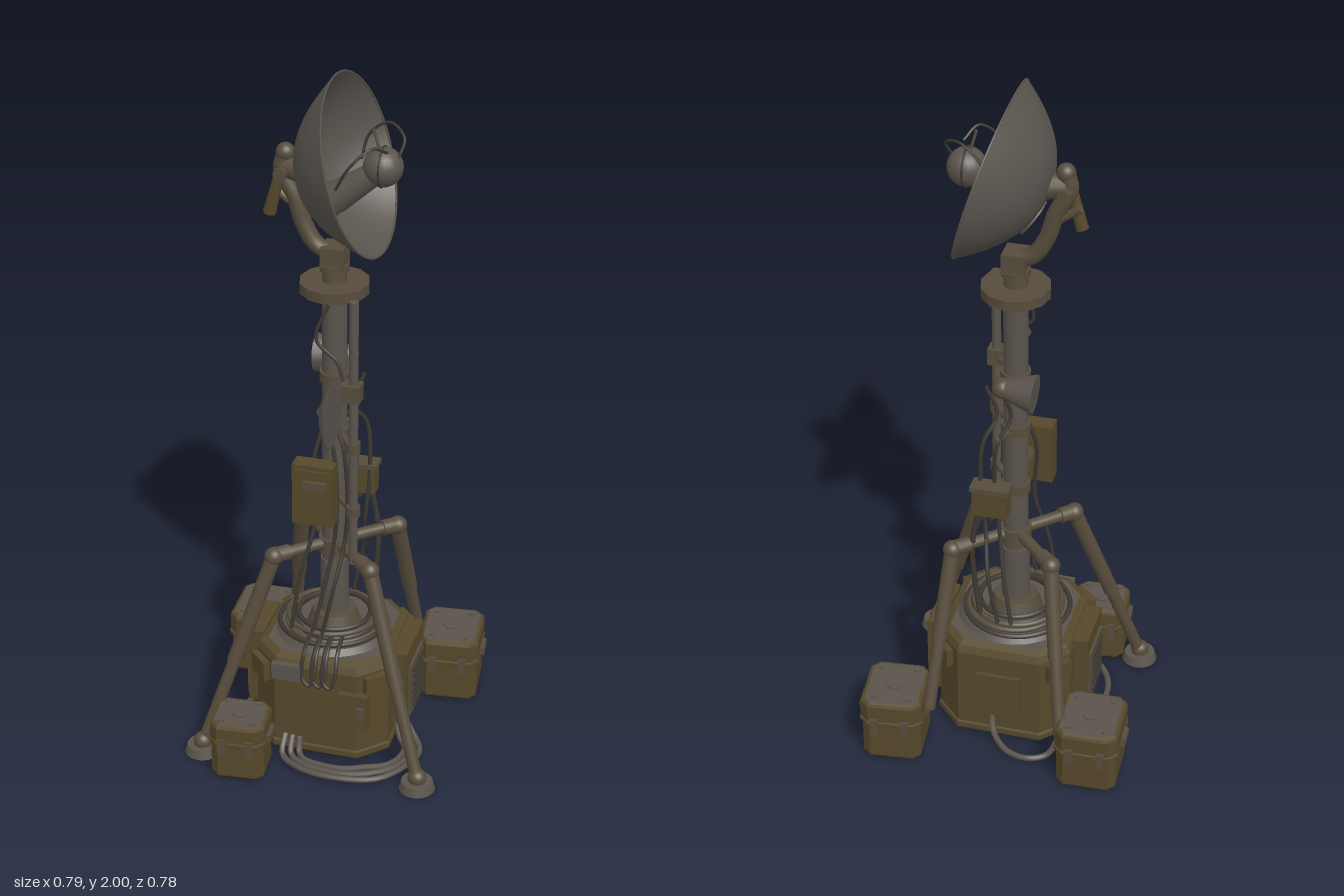
import * as THREE from 'three';

const mat = (name, color, side = THREE.FrontSide) => {
  const m = new THREE.MeshStandardMaterial({ color, side });
  m.name = name;
  return m;
};
const V = (p) => new THREE.Vector3(...p);

export function createModel() {
  const root = new THREE.Group();
  const grey = mat('dusty grey', 0x5a534c);
  const shell = mat('dish grey', 0x5a544e, THREE.DoubleSide);
  const olive = mat('olive brown', 0x55482a);
  const metal = mat('worn metal', 0x564c3c);
  const dark = mat('dark cable', 0x3c3831);
  const red = mat('dark red underside', 0x351210);

  const add = (name, geo, material, pos = [0, 0, 0], parent = root) => {
    const m = new THREE.Mesh(geo, material);
    m.name = name;
    m.position.set(...pos);
    parent.add(m);
    return m;
  };
  const box = (name, size, pos, material = olive, parent = root) =>
    add(name, new THREE.BoxGeometry(...size), material, pos, parent);
  const cyl = (name, r1, r2, h, pos, material = metal, parent = root, n = 20) =>
    add(name, new THREE.CylinderGeometry(r1, r2, h, n), material, pos, parent);
  const ball = (name, r, pos, material = metal, parent = root) =>
    add(name, new THREE.SphereGeometry(r, 20, 14), material, pos, parent);
  // Straight tapered rod between two points
  const rod = (name, a, b, r1, r2 = r1, material = metal, parent = root) => {
    const d = V(b).sub(V(a));
    const m = cyl(name, r2, r1, d.length(), V(a).add(V(b)).multiplyScalar(0.5).toArray(), material, parent, 14);
    m.quaternion.setFromUnitVectors(V([0, 1, 0]), d.normalize());
    return m;
  };
  const hose = (name, pts, r, material = dark) =>
    add(name, new THREE.TubeGeometry(new THREE.CatmullRomCurve3(pts.map(V)), 40, r, 7), material);
  // Upright block with cut corners and bevelled rims; caps and sides take separate colours
  const block = (name, w, d, h, cut, bevel, y, parent, mats = [grey, olive]) => {
    const a = w / 2, b = d / 2, s = new THREE.Shape();
    s.setFromPoints([[a, cut - b], [a, b - cut], [a - cut, b], [cut - a, b], [-a, b - cut], [-a, cut - b],
      [cut - a, -b], [a - cut, -b]].map(([x, z]) => new THREE.Vector2(x, z)));
    const g = new THREE.ExtrudeGeometry(s, { depth: h - 2 * bevel, bevelThickness: bevel, bevelSize: bevel,
      bevelOffset: -bevel, bevelSegments: 2 });
    g.rotateX(-Math.PI / 2).translate(0, bevel, 0);
    return add(name, g, mats, [0, y, 0], parent);
  };

  // Base housing
  const base = new THREE.Group();
  base.name = 'base';
  root.add(base);
  block('baseUnderside', 0.36, 0.37, 0.006, 0.07, 0.001, 0, base, [red, red]);
  block('baseHousing', 0.392, 0.4, 0.321, 0.075, 0.03, 0.004, base);
  block('baseSkirt', 0.402, 0.41, 0.025, 0.077, 0.005, 0.015, base);
  cyl('baseTopDisc', 0.155, 0.17, 0.02, [0, 0.332, 0], grey, base, 32);
  for (const s of [-1, 1]) {
    const p = new THREE.Group();
    p.name = 'sidePanel';
    p.position.set(s * 0.215, 0.195, s > 0 ? -0.015 : -0.002);
    base.add(p);
    box('panelCase', [0.045, 0.24, s > 0 ? 0.195 : 0.17], [0, 0, 0], olive, p);
    box('panelFrame', [0.012, 0.17, 0.14], [s * 0.024, -0.02, 0], metal, p);
    for (let i = 0; i < 6; i++) box('louvre', [0.008, 0.01, 0.1], [s * 0.031, -0.08 + i * 0.024, 0], dark, p);
    // Corner fittings
    for (const f of [-1, 1]) {
      const c = box('cornerFitting', [0.075, 0.06, 0.02], [s * 0.172, 0.26, f * 0.168], olive, base);
      c.rotation.y = s * f * Math.PI / 4;
    }
  }
  box('frontHatch', [0.085, 0.11, 0.025], [0.115, 0.185, 0.205], olive, base);
  box('hatchLatch', [0.02, 0.04, 0.01], [0.14, 0.185, 0.221], metal, base);
  box('frontPlate', [0.085, 0.05, 0.02], [-0.083, 0.28, 0.205], grey, base);
  box('rearHatch', [0.13, 0.13, 0.02], [0, 0.17, -0.202], olive, base);

  // Cable coils lying on the base
  [[0.152, 0.348], [0.136, 0.352], [0.118, 0.36], [0.128, 0.37], [0.104, 0.376]].forEach(([r, y], i) => {
    const t = add('cableCoil', new THREE.TorusGeometry(r, 0.0075, 7, 40), i % 2 ? metal : dark, [0.006 * (i % 3 - 1), y, 0]);
    t.rotation.x = Math.PI / 2 + 0.03 * (i % 3 - 1);
  });
  for (let i = 0; i < 3; i++) {
    const x = -0.035 + i * 0.03;
    hose('hangingLoop', [[x, 0.37, 0.11], [x, 0.345, 0.19], [x, 0.27, 0.212], [x + 0.02, 0.25, 0.214],
      [x + 0.035, 0.28, 0.21], [x + 0.035, 0.345, 0.18], [x + 0.03, 0.37, 0.1]], 0.006);
  }

  // Equipment cases
  const makeCase = (x, z, w, d, h, turn) => {
    const g = new THREE.Group();
    g.name = 'equipmentCase';
    g.position.set(x, 0, z);
    g.rotation.y = turn;
    root.add(g);
    block('caseUnderside', w * 0.88, d * 0.88, 0.005, 0.02, 0.001, 0, g, [red, red]);
    block('caseBody', w * 0.95, d * 0.95, h * 0.64, 0.022, 0.008, 0.003, g);
    block('caseLid', w, d, h * 0.38, 0.025, 0.012, h * 0.6, g);
    block('caseSeam', w * 1.03, d * 1.03, 0.014, 0.025, 0.003, h * 0.6, g, [olive, olive]);
    cyl('lidDisc', 0.026, 0.026, 0.008, [0, h * 0.98, 0], grey, g, 10);
    for (const i of [-1, 1]) {
      for (const j of [-1, 1]) {
        cyl('lidStud', 0.009, 0.011, 0.012, [i * w * 0.29, h * 0.98, j * d * 0.33], grey, g, 6);
        box('caseLatch', [0.022, 0.05, 0.01], [i * w * 0.25, h * 0.6, j * d * 0.515], metal, g);
      }
      box('caseHandle', [0.015, 0.022, 0.06], [i * w * 0.53, h * 0.66, 0], metal, g);
    }
  };
  makeCase(-0.291, -0.256, 0.182, 0.205, 0.2, 0.04);
  makeCase(0.285, -0.278, 0.178, 0.2, 0.207, 0.11);
  makeCase(-0.19, 0.302, 0.16, 0.15, 0.185, 0.09);

  // Mast
  cyl('mastFoot', 0.062, 0.08, 0.05, [0, 0.365, 0], metal);
  cyl('mastSleeve', 0.04, 0.042, 0.2, [0, 0.46, 0], grey);
  cyl('mast', 0.034, 0.036, 1.06, [0, 0.87, 0], grey);
  cyl('mastCollar', 0.045, 0.045, 0.05, [0, 0.605, 0], metal);
  cyl('topFlange', 0.097, 0.097, 0.03, [0, 1.412, 0], metal, root, 12);
  cyl('flangeUnderside', 0.09, 0.05, 0.018, [0, 1.389, 0], olive, root, 12);
  cyl('neck', 0.03, 0.034, 0.06, [0, 1.45, 0], metal);
  cyl('neckRing', 0.04, 0.04, 0.02, [0, 1.467, 0], metal);
  rod('sideMast', [0.078, 0.6, 0.085], [0.078, 1.41, 0.085], 0.013, 0.013, grey);
  for (const y of [0.77, 0.97, 1.14]) {
    rod('sideMastBracket', [0, y, 0], [0.078, y, 0.085], 0.011);
    cyl('sideMastClamp', 0.02, 0.02, 0.03, [0.078, y, 0.085]);
    rod('rearBracket', [0, y, 0], [0.035, y, -0.09], 0.01);
    cyl('mastBand', 0.042, 0.042, 0.03, [0, y, 0]);
  }

  // Support legs
  const legs = [[0.14, 0.13, 0.32, 0.265, 0], [-0.14, 0.13, -0.32, 0.265, 0],
    [-0.138, -0.137, -0.207, -0.297, 0.12], [0.15, -0.135, 0.182, -0.29, 0.12]];
  for (const [x, z, fx, fz, fy] of legs) {
    rod('legArm', [0, 0.612, 0], [x, 0.612, z], 0.017);
    ball('legJoint', 0.027, [x, 0.61, z]);
    rod('armSocket', [x * 0.75, 0.612, z * 0.75], [x, 0.612, z], 0.023);
    const foot = [fx, fy + 0.025, fz];
    rod('leg', [x, 0.61, z], foot, 0.018, 0.018);
    const mid = V([x, 0.61, z]).lerp(V(foot), 0.55).toArray();
    rod('legSleeve', [x, 0.61, z], mid, 0.022, 0.022);
    if (!fy) {
      cyl('footPad', 0.045, 0.052, 0.025, [fx, 0.0125, fz], grey);
      ball('footJoint', 0.027, [fx, 0.035, fz]);
    }
  }

  // Control boxes on the mast
  box('controlBox', [0.118, 0.185, 0.05], [-0.025, 0.826, 0.11], olive);
  box('controlBoxDoor', [0.1, 0.16, 0.01], [-0.025, 0.826, 0.137], olive);
  box('controlBoxHood', [0.065, 0.025, 0.015], [-0.015, 0.865, 0.145], metal);
  rod('controlBoxMount', [-0.01, 0.826, 0], [-0.01, 0.826, 0.1], 0.022);
  box('junctionBox', [0.1, 0.085, 0.045], [0.045, 0.775, -0.1], olive);
  box('junctionBoxLid', [0.112, 0.014, 0.055], [0.045, 0.82, -0.1], metal);
  for (let i = 0; i < 3; i++) cyl('cablePlug', 0.008, 0.008, 0.03, [0.02 + i * 0.025, 0.725, -0.1], dark, root, 8);

  // Small side dish facing left
  const disc = [[0, -0.03], [0.04, -0.024], [0.075, -0.01], [0.095, 0.003], [0.09, 0.006], [0, 0.004]];
  const small = add('smallDish', new THREE.LatheGeometry(disc.map((p) => new THREE.Vector2(...p)), 32), shell, [0.055, 1.14, 0.222]);
  small.rotation.z = -Math.PI / 2;
  rod('smallDishArm', [0.04, 1.14, 0.07], [0.03, 1.14, 0.222], 0.016);
  box('smallDishMount', [0.06, 0.05, 0.045], [0.07, 1.14, 0.085], metal);
  // Rear horn pointing right
  rod('rearHorn', [0.01, 1.155, -0.1], [-0.08, 1.15, -0.1], 0.026, 0.056, grey);
  ball('hornBack', 0.03, [0.01, 1.155, -0.1]);
  rod('hornArm', [0, 1.14, 0], [0.01, 1.15, -0.1], 0.016);

  // Swivel and bent arm holding the main dish
  box('swivelBlock', [0.065, 0.06, 0.07], [0.0, 1.5, 0], metal);
  add('dishArm', new THREE.TubeGeometry(new THREE.CatmullRomCurve3([[0.02, 1.495, 0], [-0.05, 1.525, 0], [-0.085, 1.58, 0],
    [-0.11, 1.66, 0], [-0.145, 1.73, 0], [-0.135, 1.78, 0]].map(V)), 30, 0.024, 10), metal);
  ball('armTip', 0.026, [-0.135, 1.78, 0]);
  rod('tiltActuator', [-0.14, 1.75, 0.02], [-0.175, 1.61, 0.02], 0.013, 0.018, olive);
  rod('actuatorLink', [-0.175, 1.68, 0], [-0.105, 1.63, 0], 0.012);
  rod('dishPivot', [-0.14, 1.74, 0], [-0.075, 1.735, 0], 0.03, 0.04);
  rod('pivotPin', [-0.14, 1.73, -0.045], [-0.14, 1.73, 0.045], 0.018);

  // Main dish, built along +y and tipped toward +x
  const dish = new THREE.Group();
  dish.name = 'mainDish';
  dish.position.set(0.067, 1.765, -0.003);
  dish.rotation.z = Math.atan2(0.295, 0.956) - Math.PI / 2;
  root.add(dish);
  const prof = [];
  for (let i = 0; i <= 14; i++) prof.push(new THREE.Vector2(0.246 * i / 14, -0.165 * (1 - (i / 14) ** 2.3)));
  const bowl = add('dishBowl', new THREE.LatheGeometry(prof, 48), shell, [0, 0, 0], dish);
  bowl.scale.z = 1.09;
  const rim = add('dishRim', new THREE.TorusGeometry(0.245, 0.003, 6, 48), grey, [0, 0, 0], dish);
  rim.rotation.x = Math.PI / 2;
  rim.scale.y = 1.09;

  // Feed column, ball and wire hoops
  rod('feedBase', [-0.05, 1.635, 0], [0.0, 1.67, 0], 0.056, 0.045, grey);
  rod('feedColumn', [0.0, 1.665, 0], [0.12, 1.755, 0], 0.044, 0.03, grey);
  ball('feedBall', 0.054, [0.13, 1.765, -0.006], grey);
  const band = add('feedBallBand', new THREE.TorusGeometry(0.054, 0.003, 6, 32), dark, [0.13, 1.765, -0.006]);
  band.rotation.y = Math.PI / 2;
  hose('feedWire', [[0.05, 1.75, -0.08], [0.07, 1.82, -0.085], [0.13, 1.865, -0.07], [0.18, 1.84, -0.03], [0.17, 1.79, 0]], 0.004);
  hose('feedWire', [[0.03, 1.73, 0.1], [0.07, 1.8, 0.11], [0.12, 1.845, 0.08], [0.15, 1.82, 0.03]], 0.004);
  rod('feedSpike', [0.125, 1.8, 0], [0.105, 1.87, 0], 0.004);

  // Cables running down the mast
  for (const s of [-1, 1]) for (let i = 0; i < 2; i++) {
    const x = s > 0 ? 0.02 + 0.03 * i : 0.03 + 0.04 * i;
    hose('mastCable', [[x, 1.13, s * 0.06], [x - 0.03, 1.03, s * 0.05], [x, 0.96, s * 0.085], [x + 0.01, 0.8, s * 0.08],
      [x, 0.66, s * 0.07], [x - 0.02, 0.52, s * (0.1 + 0.02 * i)], [x - 0.05, 0.37, s * 0.13]], 0.006);
  }
  hose('mastCable', [[-0.03, 0.98, 0.02], [-0.05, 0.88, 0.04], [-0.04, 0.7, 0.06], [-0.075, 0.54, 0.09], [-0.1, 0.36, 0.1]], 0.006);
  hose('mastCable', [[0.08, 0.74, -0.1], [0.1, 0.62, -0.1], [0.1, 0.5, -0.09], [0.08, 0.37, -0.1]], 0.008);
  hose('upperCable', [[0, 1.38, 0.06], [-0.03, 1.28, 0.075], [0.03, 1.22, 0.08], [0.05, 1.17, 0.09]], 0.005);

  // Hoses on the ground
  for (let i = 0; i < 3; i++) {
    const k = i * 0.022;
    hose('groundHose', [[0.2, 0.1, 0.03 + k / 2], [0.245 - k / 2, 0.04, 0.05 + k], [0.288 - k, 0.015, 0.11], [0.265 - k, 0.015, 0.2],
      [0.2 - k, 0.015, 0.28 - k], [0.09, 0.015, 0.305 - k], [-0.02, 0.015, 0.29 - k], [-0.085 + k, 0.02, 0.245 - k / 2], [-0.09 + k, 0.06, 0.2]], 0.009, grey);
  }
  hose('rearHose', [[-0.2, 0.1, -0.24], [-0.165, 0.03, -0.27], [-0.11, 0.02, -0.29], [-0.04, 0.02, -0.27], [0.01, 0.04, -0.22], [0.02, 0.08, -0.19]], 0.009, grey);
  hose('sideHose', [[-0.23, 0.08, -0.08], [-0.255, 0.02, -0.02], [-0.265, 0.015, 0.07], [-0.245, 0.015, 0.14], [-0.2, 0.02, 0.19], [-0.14, 0.05, 0.195]], 0.009, grey);
  return root;
}
